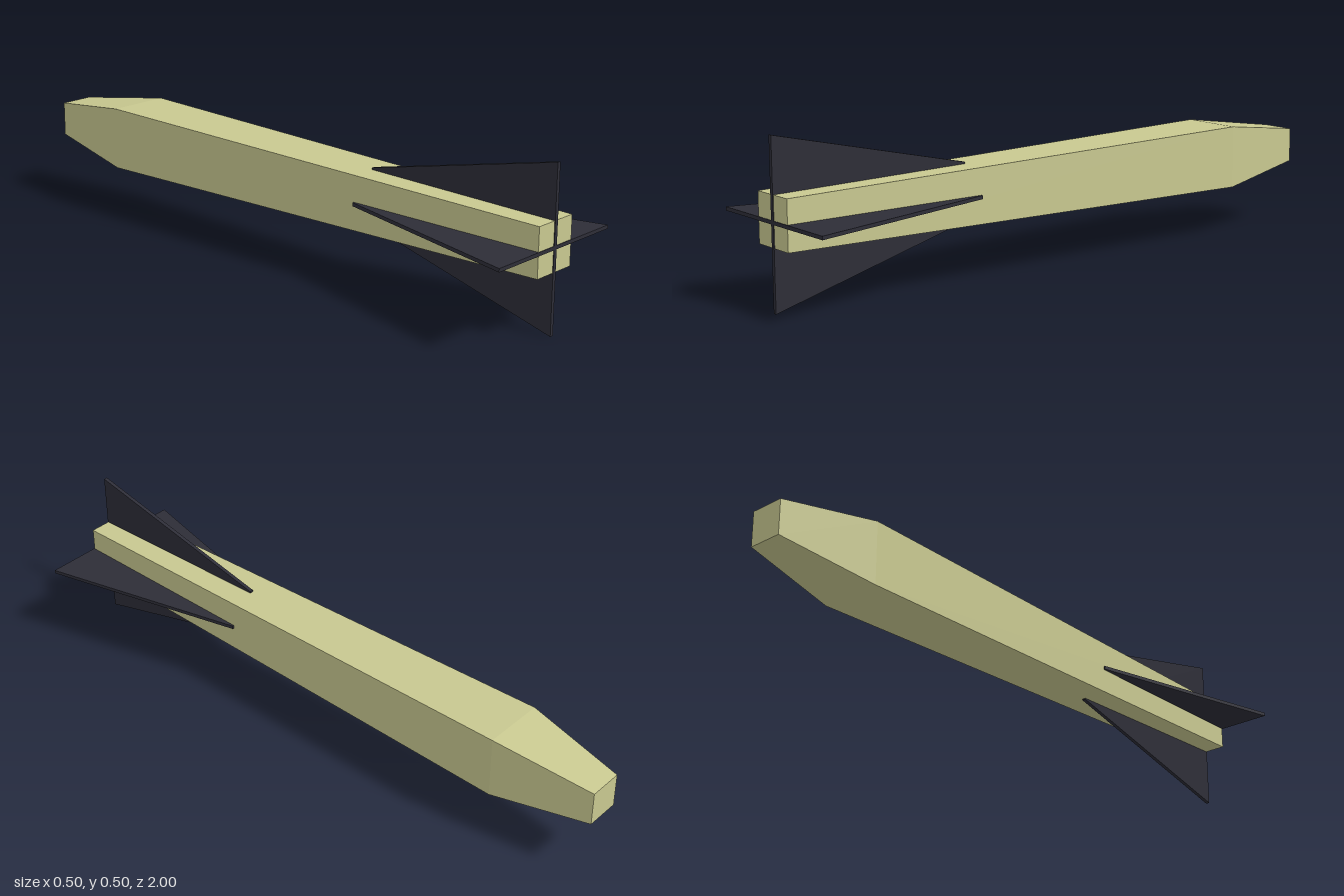
import * as THREE from 'three';

const bodyPaint = new THREE.MeshStandardMaterial({ color: 0xc8c890, flatShading: true });
bodyPaint.name = 'pale olive';
const finPaint = new THREE.MeshStandardMaterial({ color: 0x2d2d37, flatShading: true });
finPaint.name = 'dark slate';

const AXIS_Y = 0.26;   // height of the body's centre line
const FIN_START = 0.345;
const FIN_END = 1;

// Square tapered tube: [half width, distance along -z], capped at both ends
function makeBody() {
  const profile = [[0, -0.998], [0.075, -0.998], [0.1, 0.68], [0.055, 1], [0, 1]]
    .map(([half, along]) => new THREE.Vector2(half * Math.SQRT2, along));
  const geometry = new THREE.LatheGeometry(profile, 4, Math.PI / 4);
  geometry.rotateX(-Math.PI / 2);
  const body = new THREE.Mesh(geometry, bodyPaint);
  body.name = 'body';
  body.position.y = AXIS_Y;
  return body;
}

// Flat trapezoid through the body, narrow at the leading edge; shape x runs along z
function makeFinPair(name, high, low, highTip, lowTip, thickness) {
  const shape = new THREE.Shape([
    new THREE.Vector2(-FIN_START, low),
    new THREE.Vector2(-FIN_START, high),
    new THREE.Vector2(-FIN_END, highTip),
    new THREE.Vector2(-FIN_END, lowTip),
  ]);
  const geometry = new THREE.ExtrudeGeometry(shape, { depth: thickness, bevelEnabled: false });
  geometry.translate(0, 0, -thickness / 2);
  geometry.rotateY(Math.PI / 2);
  const fins = new THREE.Mesh(geometry, finPaint);
  fins.name = name;
  return fins;
}

export function createModel() {
  const model = new THREE.Group();
  model.name = 'finnedMissile';
  model.add(makeBody());

  // Upright fins
  model.add(makeFinPair('verticalFins', 0.35, 0.172, 0.5, 0, 0.012));

  // Side fins, the same plate laid flat
  const sideFins = makeFinPair('horizontalFins', 0.09, -0.09, 0.25, -0.25, 0.011);
  sideFins.rotation.z = Math.PI / 2;
  sideFins.position.y = 0.257;
  model.add(sideFins);

  return model;
}
